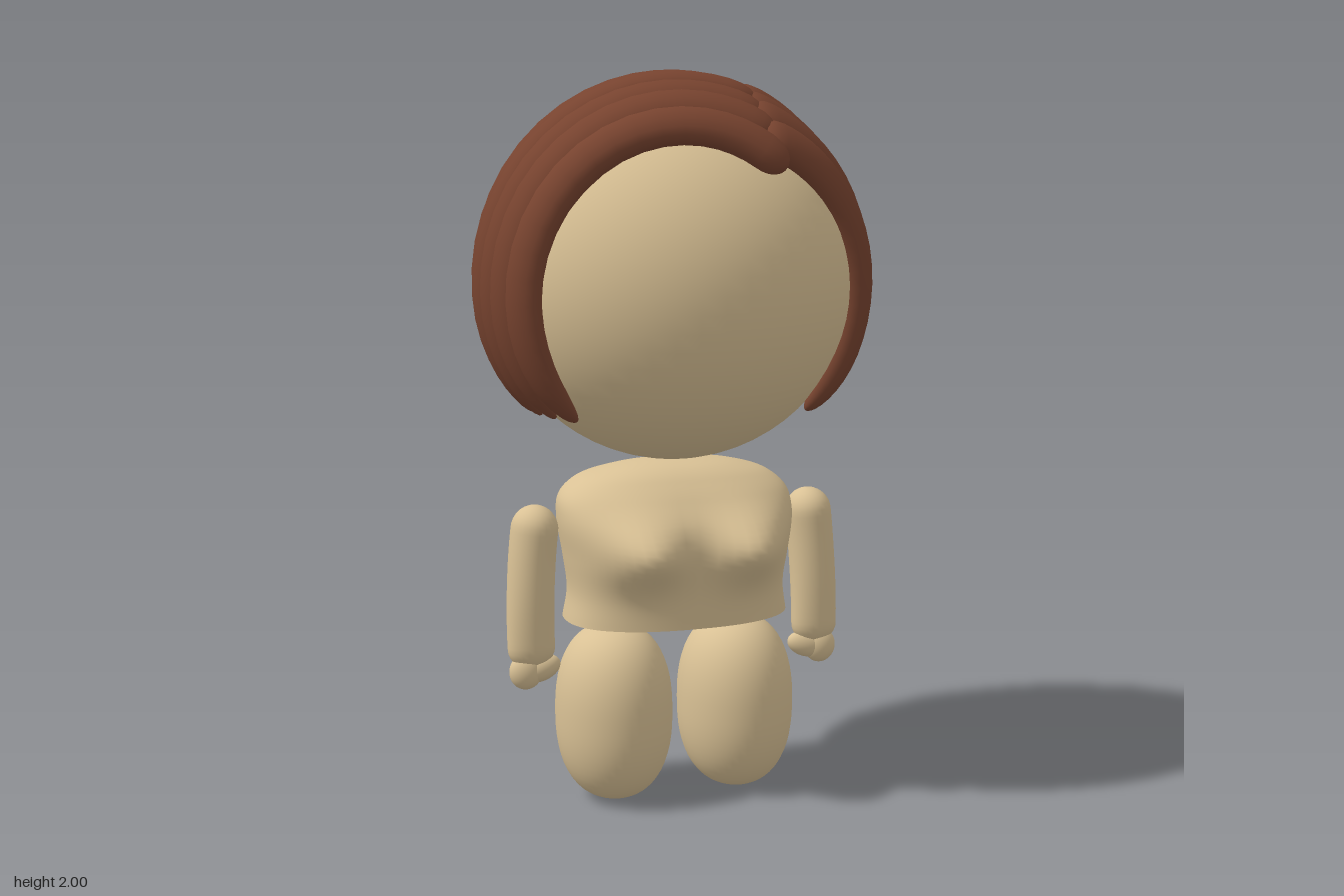
import * as THREE from 'three';

const V = (x, y, z) => new THREE.Vector3(x, y, z);
const lerp = THREE.MathUtils.lerp;
const skin = new THREE.MeshStandardMaterial({ color: 0xd9c195 });
const hairMat = new THREE.MeshStandardMaterial({ color: 0x77432f });

function add(parent, name, geometry, material) {
  const mesh = new THREE.Mesh(geometry, material);
  mesh.name = name;
  parent.add(mesh);
  return mesh;
}

// Skin closed rings of points into a smooth surface
function loft(rings) {
  const n = rings[0].length, index = [];
  for (let i = 0; i < rings.length - 1; i++) {
    for (let j = 0; j < n; j++) {
      const k = (j + 1) % n, a = i * n + j, b = i * n + k;
      index.push(a, b, a + n, b, b + n, a + n);
    }
  }
  const geometry = new THREE.BufferGeometry().setFromPoints(rings.flat());
  geometry.setIndex(index);
  geometry.computeVertexNormals();
  return geometry;
}

// Sweep an oval along path(t); width lies across the surface, height along the normal
function sweep(path, normalAt, width, height, steps = 30, sides = 14) {
  const rings = [];
  for (let i = 0; i <= steps; i++) {
    const t = (1 - Math.cos(Math.PI * i / steps)) / 2;
    const p = path(t);
    const tan = path(Math.min(1, t + 0.01)).sub(path(Math.max(0, t - 0.01))).normalize();
    const b = normalAt(p).cross(tan).normalize();
    const n = tan.clone().cross(b);
    const ring = [];
    for (let j = 0; j < sides; j++) {
      const a = j / sides * Math.PI * 2;
      ring.push(p.clone().addScaledVector(b, width(t) * Math.cos(a)).addScaledVector(n, height(t) * Math.sin(a)));
    }
    rings.push(ring);
  }
  return loft(rings);
}

// Rounded ends: rises over [0, a], falls over [c, 1]
function rounded(t, a, c) {
  const d = t < a ? 1 - t / a : t > c ? (t - c) / (1 - c) : 0;
  return Math.sqrt(Math.max(0, 1 - d * d));
}

// Ellipsoid; power above 2 makes it more barrel-like
function ellipsoid(rx, ry, rz, power = 2) {
  const g = new THREE.SphereGeometry(1, 48, 32), pos = g.attributes.position;
  for (let i = 0; i < pos.count; i++) {
    const p = V().fromBufferAttribute(pos, i);
    const r = Math.hypot(p.x, p.z);
    p.divideScalar((r ** power + Math.abs(p.y) ** power) ** (1 / power));
    pos.setXYZ(i, p.x * rx, p.y * ry, p.z * rz);
  }
  g.computeVertexNormals();
  return g;
}

// Hair lies on an ellipsoid around the head
const HY = 1.44, RX = 0.51, RY = 0.525, TIP = 1.095;
const RZ = z => (z > 0 ? 0.45 : 0.42);
const hairNormal = p => V(p.x / RX ** 2, (p.y - HY) / RY ** 2, p.z / RZ(p.z) ** 2).normalize();

// Strand from the side parting, over the top and down one side
function sideStrand(side, z0, z1, lift, width, height) {
  const k = z => Math.sqrt(1 - (z / RZ(z)) ** 2);
  const start = Math.asin((side > 0 ? 0.15 : 0.2) / (RX * k(z0)));
  const end = side * Math.acos((TIP - HY) / (RY * k(z1)));
  const path = t => {
    const z = lerp(z0, z1, Math.sin(t * Math.PI / 2)), a = lerp(start, end, t), s = 1 + lift * (1 - t);
    return V(RX * k(z) * Math.sin(a) * s, HY + RY * k(z) * Math.cos(a) * s, z);
  };
  return sweep(path, hairNormal, t => width * rounded(t, 0.06, 0.78), t => height * rounded(t, 0.06, 0.78));
}

// Strand fanning from the crown down the back
function backStrand(phi, lift) {
  const end = Math.acos((TIP - HY) / RY);
  const path = t => {
    const a = lerp(0.2, end, t), s = Math.sin(a) * (1 + lift);
    return V(RX * s * Math.sin(phi), HY + RY * Math.cos(a), -0.42 * s * Math.cos(phi));
  };
  const width = t => (0.025 + 0.038 * Math.sin(Math.min(1, t * 1.5) * Math.PI / 2)) * rounded(t, 0.08, 0.75);
  return sweep(path, hairNormal, width, t => 0.034 * rounded(t, 0.08, 0.75));
}

function buildHair() {
  const hair = new THREE.Group();
  hair.name = 'hair';
  for (const [side, count, front, label] of [[-1, 7, 0.325, 'right'], [1, 6, 0.275, 'left']]) {
    for (let i = 0; i < count; i++) {
      const f = i / (count - 1), fringe = i === 0;
      const geo = sideStrand(side, lerp(front, -0.1, f), lerp(0.19, -0.22, f), (i % 2) * 0.012 + (fringe ? 0.015 : 0),
        side < 0 ? 0.058 : 0.064, fringe ? 0.042 : 0.035);
      add(hair, fringe ? `${label}Fringe` : `${label}Strand${i}`, geo, hairMat);
    }
  }
  for (let i = -5; i <= 5; i++) {
    add(hair, `backStrand${i + 6}`, backStrand(i * 0.215, Math.abs(i % 2) * 0.012), hairMat);
  }
  return hair;
}

// Chest: oval sections [y, half width, front z, back z] with a soft double swell in front
function buildTorso() {
  const rows = [
    [0.52, 0.315, 0.23, -0.175], [0.6, 0.303, 0.235, -0.17], [0.7, 0.315, 0.24, -0.175],
    [0.8, 0.33, 0.235, -0.178], [0.86, 0.322, 0.2, -0.172], [0.905, 0.275, 0.16, -0.145],
    [0.935, 0.19, 0.12, -0.085], [0.95, 0.1, 0.075, -0.03], [0.955, 0, 0.03, 0.03],
  ];
  const widths = new THREE.CatmullRomCurve3(rows.map(r => V(r[1], r[0], 0)));
  const depths = new THREE.CatmullRomCurve3(rows.map(r => V(r[2], r[0], r[3])));
  const oval = v => Math.sign(v) * Math.abs(v) ** 0.85;
  const rings = [];
  for (let i = 0; i <= 48; i++) {
    const w = widths.getPoint(i / 48), d = depths.getPoint(i / 48), ring = [];
    const mid = (d.x + d.z) / 2, half = (d.x - d.z) / 2;
    for (let j = 0; j < 64; j++) {
      const a = j / 64 * Math.PI * 2, x = w.x * oval(Math.cos(a)), s = -Math.sin(a);
      const swell = 0.1 * Math.exp(-(((Math.abs(x) - 0.15) / 0.105) ** 2) - ((w.y - 0.735) / 0.085) ** 2);
      ring.push(V(x, w.y, mid + half * oval(s) + swell * THREE.MathUtils.smoothstep(s, 0, 0.6)));
    }
    rings.push(ring);
  }
  const torso = new THREE.Group();
  torso.name = 'torso';
  add(torso, 'chest', loft(rings), skin);
  // flat underside
  const rim = rings[0].map(p => p.clone());
  add(torso, 'waistCap', loft([rim.map(() => V(0, 0.52, 0.03)), rim]), skin);
  return torso;
}

// Arm with a small mitten hand
function buildArm(side) {
  const arm = new THREE.Group();
  arm.name = side > 0 ? 'leftArm' : 'rightArm';
  const curve = new THREE.CatmullRomCurve3([V(0.39, 0.845, 0.025), V(0.405, 0.7, 0.025), V(0.413, 0.55, 0.032), V(0.413, 0.395, 0.042)]
    .map(p => p.setX(p.x * side)));
  const end = t => rounded(t, 0.15, 0.88);
  add(arm, 'upperAndForearm', sweep(t => curve.getPoint(t), () => V(0, 0, 1),
    t => lerp(0.064, 0.066, t) * end(t), t => lerp(0.07, 0.038, t * t) * end(t), 30, 24), skin);
  add(arm, 'palm', ellipsoid(0.046, 0.05, 0.034), skin).position.set(side * 0.43, 0.387, 0.042);
  const thumb = add(arm, 'thumb', ellipsoid(0.058, 0.036, 0.03), skin);
  thumb.position.set(side * 0.39, 0.392, 0.042);
  thumb.rotation.z = -side * 0.3;
  return arm;
}

export function createModel() {
  const model = new THREE.Group();
  model.name = 'figure';
  add(model, 'head', ellipsoid(0.495, 0.482, 0.436), skin).position.set(0, 1.437, 0.02);
  model.add(buildHair(), buildTorso());
  for (const side of [-1, 1]) {
    model.add(buildArm(side));
    add(model, side > 0 ? 'leftLeg' : 'rightLeg', ellipsoid(0.162, 0.247, 0.178, 2.4), skin)
      .position.set(side * 0.178, 0.25, 0.028);
  }
  return model;
}
